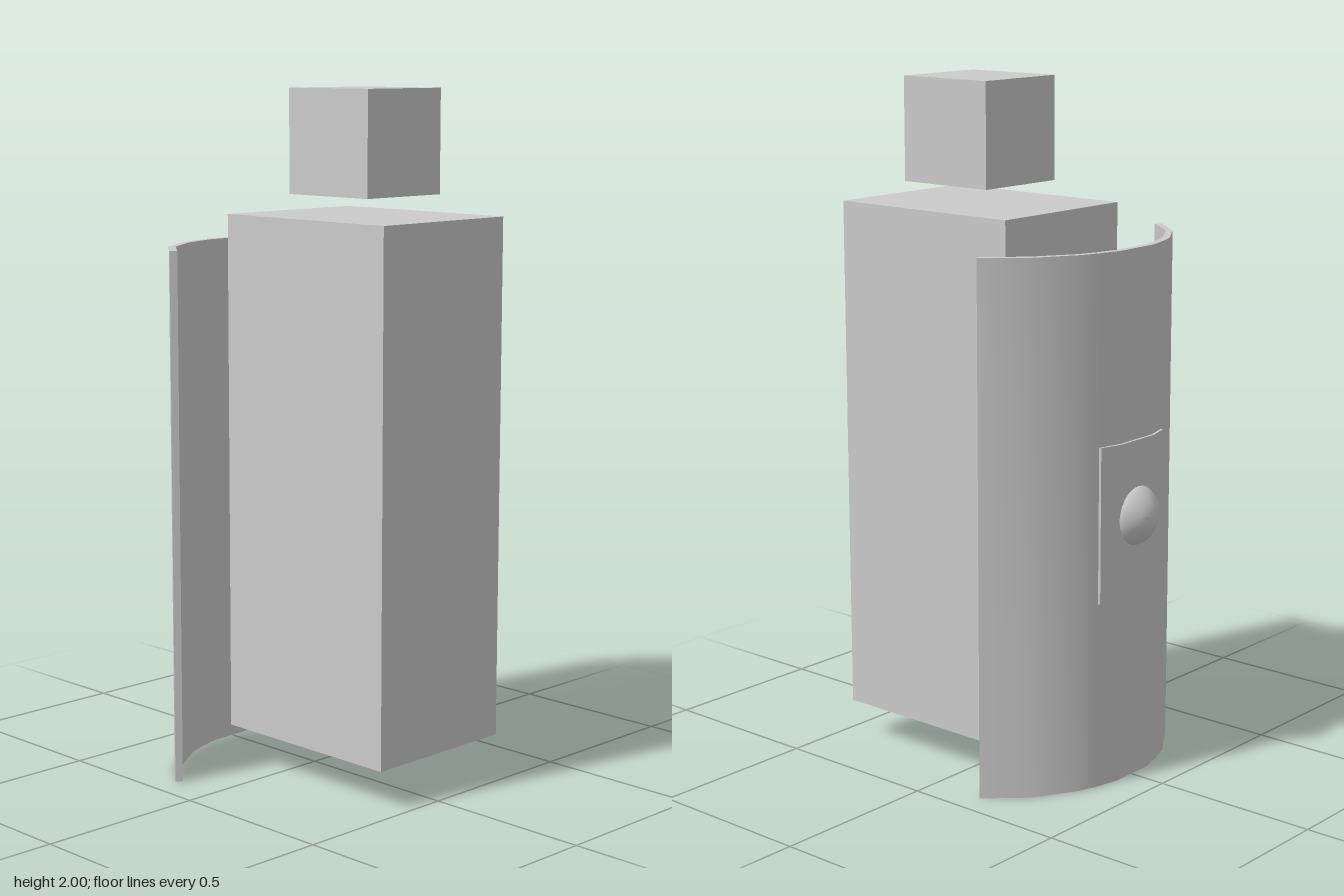
import * as THREE from 'three';
import { toCreasedNormals } from 'three/addons/utils/BufferGeometryUtils.js';

const material = new THREE.MeshStandardMaterial({ color: 0xcccccc });

export function createModel() {
  const model = new THREE.Group();

  const add = (name, geometry, x = 0, y = 0, z = 0) => {
    const mesh = new THREE.Mesh(geometry, material);
    mesh.name = name;
    mesh.position.set(x, y, z);
    model.add(mesh);
    return mesh;
  };

  // Upright curved slab between an outer and an inner outline of [x, z] points
  const curvedSlab = (outer, inner, height) => {
    const outline = [...outer, ...[...inner].reverse()];
    const shape = new THREE.Shape(outline.map(([x, z]) => new THREE.Vector2(x, -z)));
    const geometry = new THREE.ExtrudeGeometry(shape, { depth: height, bevelEnabled: false });
    geometry.rotateX(-Math.PI / 2);
    return toCreasedNormals(geometry, 0.6);
  };

  // Blocky figure
  add('body', new THREE.BoxGeometry(0.62, 1.525, 0.49), 0.135, 0.8775, -0.066);
  add('head', new THREE.BoxGeometry(0.31, 0.30, 0.296), 0.135, 1.85, -0.066);

  // Tall curved shield at the right side
  const shieldOuter = [
    [-0.172, -0.425], [-0.278, -0.326], [-0.352, -0.2], [-0.371, -0.142], [-0.387, -0.07],
    [-0.385, 0.078], [-0.364, 0.15], [-0.343, 0.207], [-0.262, 0.329], [-0.152, 0.421],
  ];
  const shieldInner = [
    [-0.159, -0.408], [-0.262, -0.313], [-0.333, -0.195], [-0.352, -0.138], [-0.367, -0.065],
    [-0.364, 0.073], [-0.345, 0.144], [-0.324, 0.199], [-0.246, 0.317], [-0.14, 0.403],
  ];
  add('shield', curvedSlab(shieldOuter, shieldInner, 1.55));

  // Thin plate following the shield's outer face
  const plateInner = shieldOuter.slice(3, 7);
  const plateOuter = [[-0.378, -0.141], [-0.395, -0.075], [-0.393, 0.08], [-0.372, 0.149]];
  add('shieldPlate', curvedSlab(plateOuter, plateInner, 0.455), 0, 0.55, 0);

  // Domed boss on the plate
  const profile = [[0, 0], [0.088, 0], [0.087, 0.006], [0.076, 0.026], [0.044, 0.05], [0.022, 0.059], [0, 0.062]];
  const dome = new THREE.LatheGeometry(profile.map(([r, h]) => new THREE.Vector2(r, h)), 24);
  dome.rotateZ(Math.PI / 2);
  add('shieldBoss', toCreasedNormals(dome, 0.8), -0.386, 0.783, 0.008);

  return model;
}
